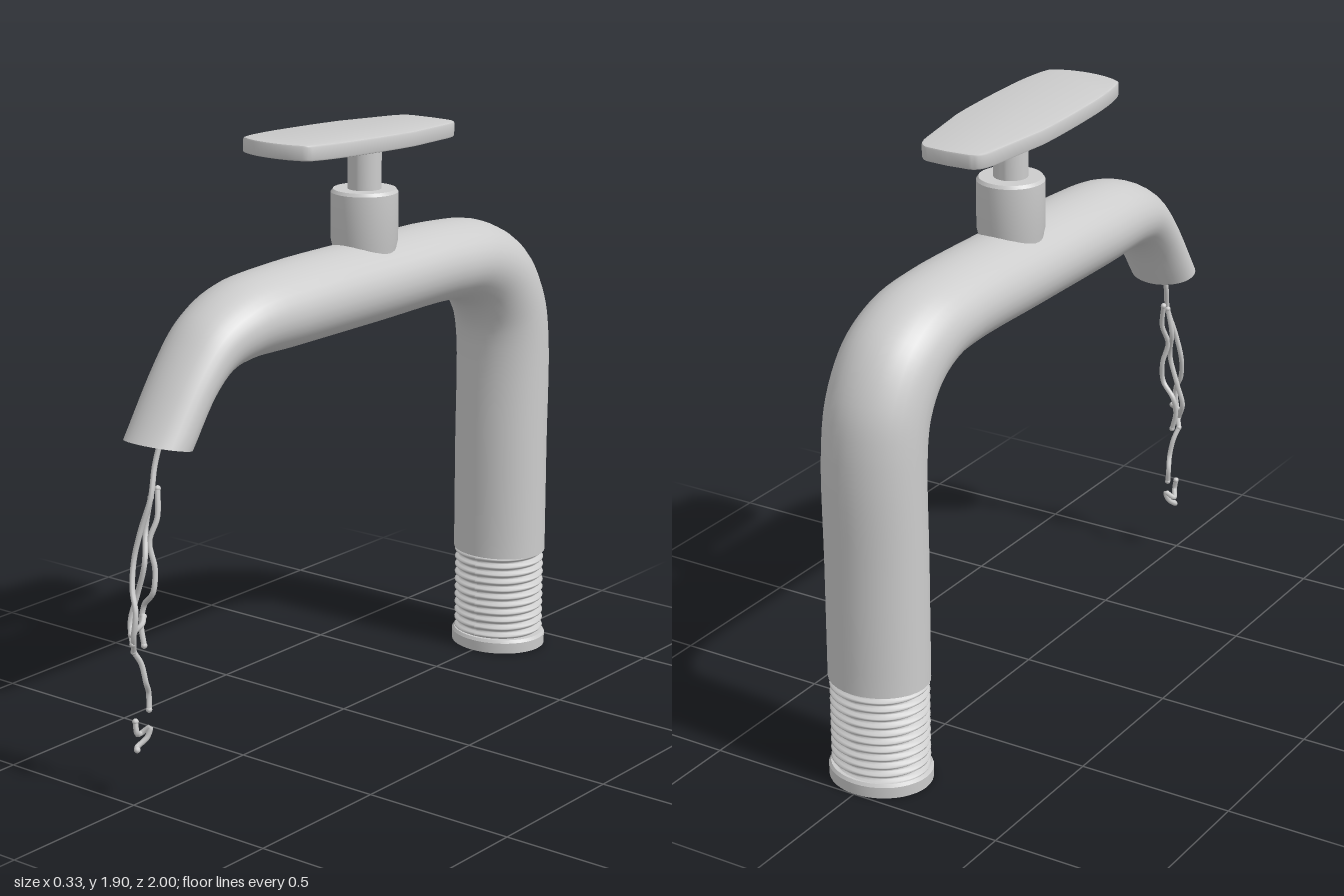
import * as THREE from 'three';
import { toCreasedNormals } from 'three/addons/utils/BufferGeometryUtils.js';

const metal = new THREE.MeshStandardMaterial({ color: 0xcccccc });
metal.name = 'lightGrey';

const SIDES = 32;
const V = (x, y, z) => new THREE.Vector3(x, y, z);

// Skin of elliptical rings; each section is { o: outer point, i: inner point, w: half width }
function loft(sections) {
  const pos = [], idx = [];
  sections.forEach(({ o, i, w }, k) => {
    for (let j = 0; j < SIDES; j++) {
      const a = (j / SIDES) * Math.PI * 2;
      const c = Math.cos(a) / 2;
      pos.push(w * Math.sin(a), o.y * (0.5 + c) + i.y * (0.5 - c), o.z * (0.5 + c) + i.z * (0.5 - c));
      if (k === sections.length - 1) continue;
      const n = (j + 1) % SIDES, r = k * SIDES, s = r + SIDES;
      idx.push(r + j, s + j, r + n, s + j, s + n, r + n);
    }
  });
  const g = new THREE.BufferGeometry();
  g.setAttribute('position', new THREE.Float32BufferAttribute(pos, 3));
  g.setIndex(idx);
  g.computeVertexNormals();
  return g;
}

// Shrinks a section about its centre and shifts it
function inset({ o, i, w }, s, dy = 0, dz = 0) {
  const c = o.clone().add(i).multiplyScalar(0.5);
  const move = (p) => p.clone().sub(c).multiplyScalar(s).add(c).add(V(0, dy, dz));
  return { o: move(o), i: move(i), w: w * s };
}

function turned(profile, crease = 0.6) {
  const g = new THREE.LatheGeometry(profile.map(([r, y]) => new THREE.Vector2(r, y)), 40);
  return toCreasedNormals(g, crease);
}

export function createModel() {
  const model = new THREE.Group();
  model.name = 'tap';
  const add = (name, geometry, parent = model) => {
    const m = new THREE.Mesh(geometry, metal);
    m.name = name;
    parent.add(m);
    return m;
  };

  // Bent pipe: outer z, y, inner z, y, half width
  const rows = [
    [-0.995, 0.335, -0.71, 0.335, 0.16], [-0.995, 0.7, -0.71, 0.7, 0.16],
    [-0.995, 1.07, -0.71, 1.07, 0.16], [-0.96, 1.25, -0.69, 1.15, 0.16],
    [-0.86, 1.405, -0.64, 1.215, 0.16], [-0.7, 1.495, -0.57, 1.252, 0.16],
    [-0.5, 1.523, -0.47, 1.267, 0.16], [-0.1, 1.525, -0.1, 1.267, 0.16],
    [0.28, 1.522, 0.32, 1.267, 0.16], [0.52, 1.5, 0.53, 1.267, 0.147],
    [0.68, 1.43, 0.62, 1.245, 0.128], [0.79, 1.32, 0.69, 1.19, 0.118],
    [0.95, 1.1, 0.78, 1.06, 0.112],
  ];
  const outer = new THREE.CatmullRomCurve3(rows.map((r) => V(0, r[1], r[0])));
  const inner = new THREE.CatmullRomCurve3(rows.map((r) => V(r[4], r[3], r[2])));
  const sections = [];
  for (let k = 0; k <= 60; k++) {
    const i = inner.getPoint(k / 60);
    sections.push({ o: outer.getPoint(k / 60), i, w: i.x });
  }
  add('pipe', loft(sections));

  // Spout mouth: flat rim, then a recess
  const end = sections[60];
  const lip = inset(end, 0.82);
  const deep = inset(end, 0.8, 0.06, -0.035);
  add('spoutRim', loft([end, lip]));
  add('spoutRecess', loft([lip, deep]));
  add('spoutRecessFloor', loft([deep, inset(deep, 0.001)]));

  // Threaded foot
  const foot = new THREE.Group();
  foot.name = 'foot';
  foot.position.z = -0.852;
  foot.scale.z = 0.9;
  model.add(foot);
  add('footCollar', turned([[0, 0], [0.163, 0], [0.164, 0.036], [0.157, 0.046], [0, 0.046]]), foot);
  const turns = 11, low = 0.04, high = 0.34;
  const thread = new THREE.CylinderGeometry(1, 1, high - low, 48, turns * 6, true);
  const p = thread.attributes.position;
  for (let k = 0; k < p.count; k++) {
    const t = (p.getY(k) / (high - low)) * turns - Math.atan2(p.getX(k), p.getZ(k)) / (Math.PI * 2);
    const r = 0.147 + 0.009 * Math.cos(t * Math.PI * 2);
    p.setXYZ(k, p.getX(k) * r, p.getY(k) + (low + high) / 2, p.getZ(k) * r);
  }
  thread.computeVertexNormals();
  add('screwThread', thread, foot);
  add('pipeEnd', turned([[0, 0.335], [0.16, 0.335]]), foot);

  // Valve body and stem
  const valve = new THREE.Group();
  valve.name = 'valve';
  valve.position.z = -0.103;
  model.add(valve);
  add('valveBody', turned([[0.098, 1.46], [0.1, 1.51], [0.105, 1.53], [0.105, 1.68], [0.098, 1.69], [0, 1.69]]), valve);
  add('stem', turned([[0.053, 1.68], [0.053, 1.85]]), valve);

  // Tilted lever plate; shape y runs to the back
  const half = new THREE.Shape();
  half.moveTo(0, -0.4);
  half.quadraticCurveTo(0.07, -0.4, 0.12, -0.37);
  half.quadraticCurveTo(0.14, -0.33, 0.148, -0.2);
  half.quadraticCurveTo(0.155, 0, 0.147, 0.12);
  half.lineTo(0.115, 0.33);
  half.quadraticCurveTo(0.105, 0.392, 0.07, 0.396);
  half.lineTo(0, 0.4);
  const right = half.getPoints(8);
  const left = right.slice(1, -1).reverse().map((q) => new THREE.Vector2(-q.x, q.y));
  const plate = new THREE.ExtrudeGeometry(new THREE.Shape([...right, ...left]), {
    depth: 0.036, bevelThickness: 0.006, bevelSize: 0.006, bevelSegments: 2,
  });
  plate.translate(0, 0, -0.018);
  plate.rotateX(-Math.PI / 2);
  const lever = add('lever', toCreasedNormals(plate, 0.7));
  lever.position.set(0, 1.857, -0.047);
  lever.rotation.x = -0.04;

  // Trickling water: thin twisting strands
  const strands = [
    [[0, 1.1, 0.85], [-0.005, 1.02, 0.875], [0.004, 0.93, 0.905], [-0.02, 0.83, 0.925], [-0.035, 0.74, 0.94],
      [-0.02, 0.66, 0.965], [0.01, 0.6, 0.985], [0.005, 0.53, 0.99], [-0.015, 0.47, 0.97]],
    [[0, 0.95, 0.87], [0.015, 0.87, 0.89], [0.005, 0.8, 0.915], [0.025, 0.72, 0.915], [0.025, 0.65, 0.925],
      [-0.02, 0.6, 0.915], [-0.025, 0.54, 0.925], [-0.01, 0.48, 0.93]],
    [[0, 0.93, 0.9], [-0.012, 0.84, 0.91], [0.012, 0.74, 0.945], [-0.015, 0.64, 0.95], [-0.03, 0.56, 0.965],
      [-0.005, 0.5, 0.985]],
    [[-0.015, 0.47, 0.97], [-0.005, 0.43, 0.95], [0.003, 0.37, 0.94], [-0.005, 0.33, 0.92], [0, 0.28, 0.925]],
    [[-0.01, 0.57, 0.93], [0.005, 0.555, 0.955], [-0.01, 0.53, 0.985]],
    [[0, 0.26, 0.985], [0.005, 0.225, 0.985], [-0.012, 0.21, 0.95], [0.012, 0.23, 0.935], [0.008, 0.2, 0.945],
      [-0.005, 0.175, 0.975], [0.005, 0.172, 0.985]],
  ];
  const water = new THREE.Group();
  water.name = 'water';
  model.add(water);
  strands.forEach((pts, n) => {
    const curve = new THREE.CatmullRomCurve3(pts.map((q) => V(...q)));
    add('waterStrand' + (n + 1), new THREE.TubeGeometry(curve, pts.length * 6, 0.0085, 7), water);
    for (const q of [pts[0], pts[pts.length - 1]]) {
      add('waterDrop', new THREE.SphereGeometry(0.01, 8, 6), water).position.set(...q);
    }
  });

  return model;
}
